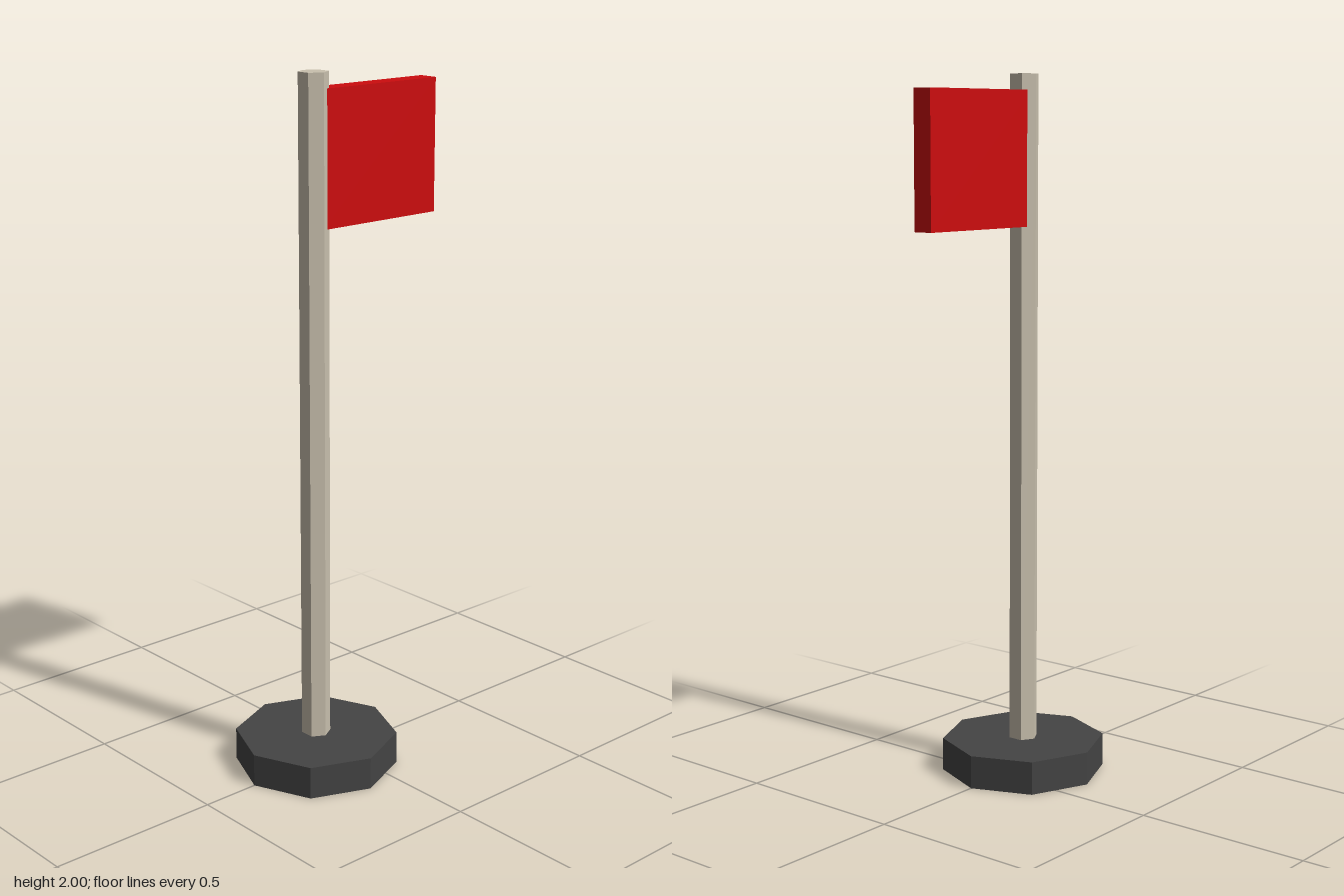
import * as THREE from 'three';

const POLE_X = -0.095;

function material(name, color) {
  const m = new THREE.MeshStandardMaterial({ color });
  m.name = name;
  m.flatShading = true;
  return m;
}

export function createModel() {
  const group = new THREE.Group();
  group.name = 'flagOnPole';

  const add = (name, geometry, mat, x, y) => {
    const mesh = new THREE.Mesh(geometry, mat);
    mesh.name = name;
    mesh.position.set(x, y, 0);
    group.add(mesh);
  };

  // Octagonal foot
  add('base', new THREE.CylinderGeometry(0.235, 0.235, 0.095, 8),
    material('dark grey', 0x444444), POLE_X, 0.0475);

  // Hexagonal pole, sunk slightly into the foot
  add('pole', new THREE.CylinderGeometry(0.042, 0.042, 1.95, 6),
    material('beige', 0xc9c0ae), POLE_X, 1.025);

  // Thick flag, its inner edge hidden inside the pole
  const left = POLE_X + 0.005, right = 0.328;
  add('flag', new THREE.BoxGeometry(right - left, 0.375, 0.058),
    material('red', 0xcc0c0e), (left + right) / 2, 1.768);

  return group;
}
